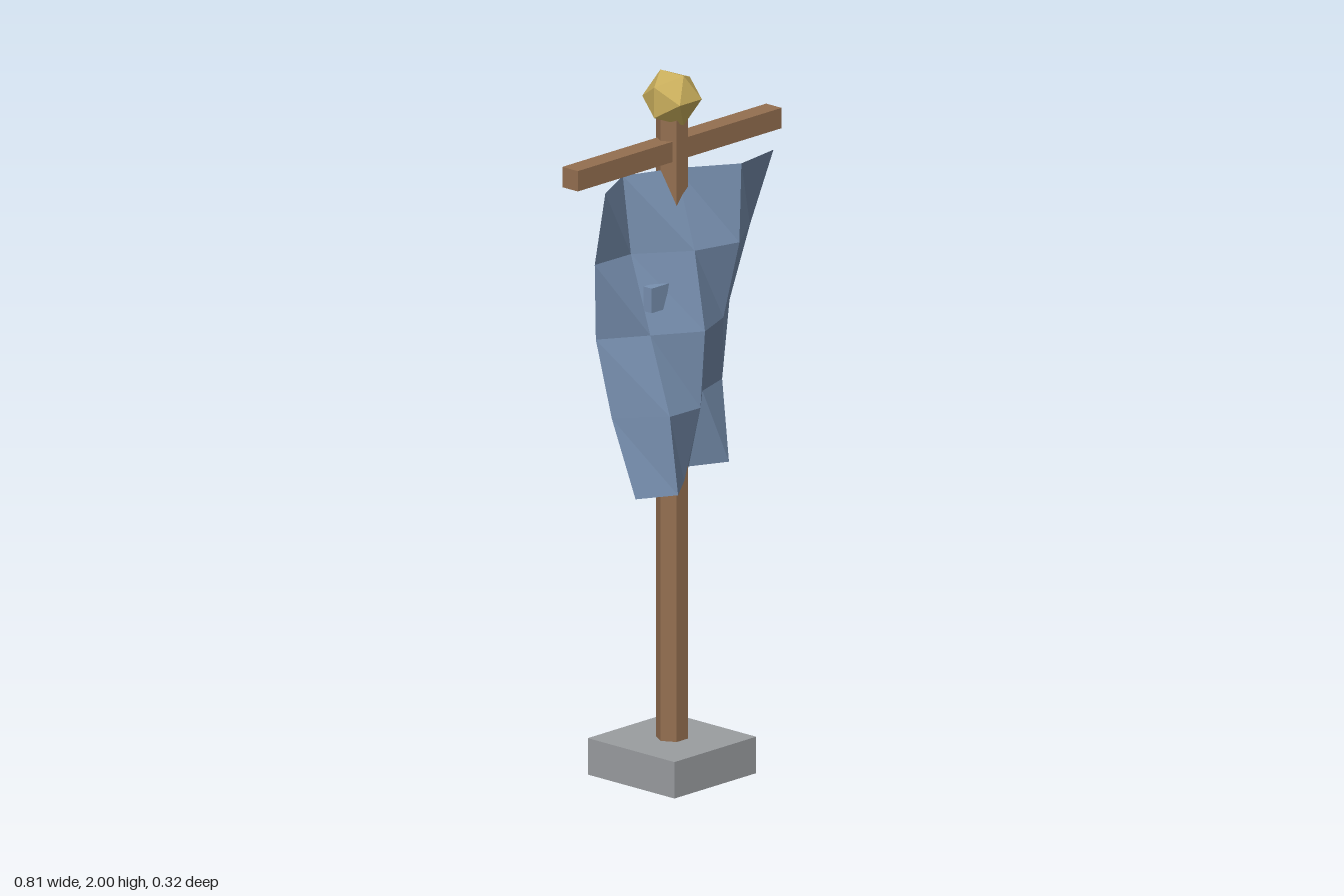
import * as THREE from 'three';

const material = (name, color, extra = {}) => {
  const m = new THREE.MeshStandardMaterial({ color, flatShading: true, ...extra });
  m.name = name;
  return m;
};

export function createModel() {
  const group = new THREE.Group();
  group.name = 'bannerStand';

  const wood = material('wood', 0x946f50);
  const stone = material('stone', 0x9a9da0);
  const gold = material('gold', 0xc9ae5c);
  const cloth = material('cloth', 0x7890b0, { side: THREE.DoubleSide });

  const add = (name, geometry, mat, x = 0, y = 0, z = 0) => {
    const mesh = new THREE.Mesh(geometry, mat);
    mesh.name = name;
    mesh.position.set(x, y, z);
    group.add(mesh);
    return mesh;
  };

  // Stone foot
  add('base', new THREE.BoxGeometry(0.325, 0.104, 0.325), stone, 0, 0.052, 0);

  // Six-sided pole with corners pointing left and right
  const pole = new THREE.CylinderGeometry(0.045, 0.045, 1.88, 6).rotateY(Math.PI / 6);
  add('pole', pole, wood, 0, 0.942, 0);

  // Crossbar and faceted finial
  add('crossbar', new THREE.BoxGeometry(0.81, 0.058, 0.058), wood, 0, 1.787, 0);
  add('finial', new THREE.IcosahedronGeometry(0.083, 0).rotateZ(Math.PI / 2), gold, 0, 1.93, 0);

  // Tapered cloth, rippled by one diagonal wave
  const top = 1.732, height = 0.887;
  const banner = new THREE.PlaneGeometry(2, height, 4, 4).rotateY(Math.PI);
  const pos = banner.attributes.position;
  for (let k = 0; k < pos.count; k++) {
    const u = pos.getX(k);                        // -1 to 1 across
    const v = 0.5 - pos.getY(k) / height;         // 0 at the top, 1 at the hem
    const column = (u + 1) * 2, row = v * 4;
    const ripple = Math.sin(column * 1.4 + row * 0.85 + 3.18);
    pos.setXYZ(k, u * (0.306 - 0.091 * v), top - v * height, 0.042 + 0.083 * ripple);
  }
  banner.computeVertexNormals();
  add('banner', banner, cloth);

  // Crossed emblem bars behind the cloth
  add('emblemUpright', new THREE.BoxGeometry(0.09, 0.28, 0.025), gold, 0, 1.39, 0.0325);
  add('emblemCrosspiece', new THREE.BoxGeometry(0.27, 0.07, 0.03), cloth, 0, 1.39, 0.036);

  return group;
}
